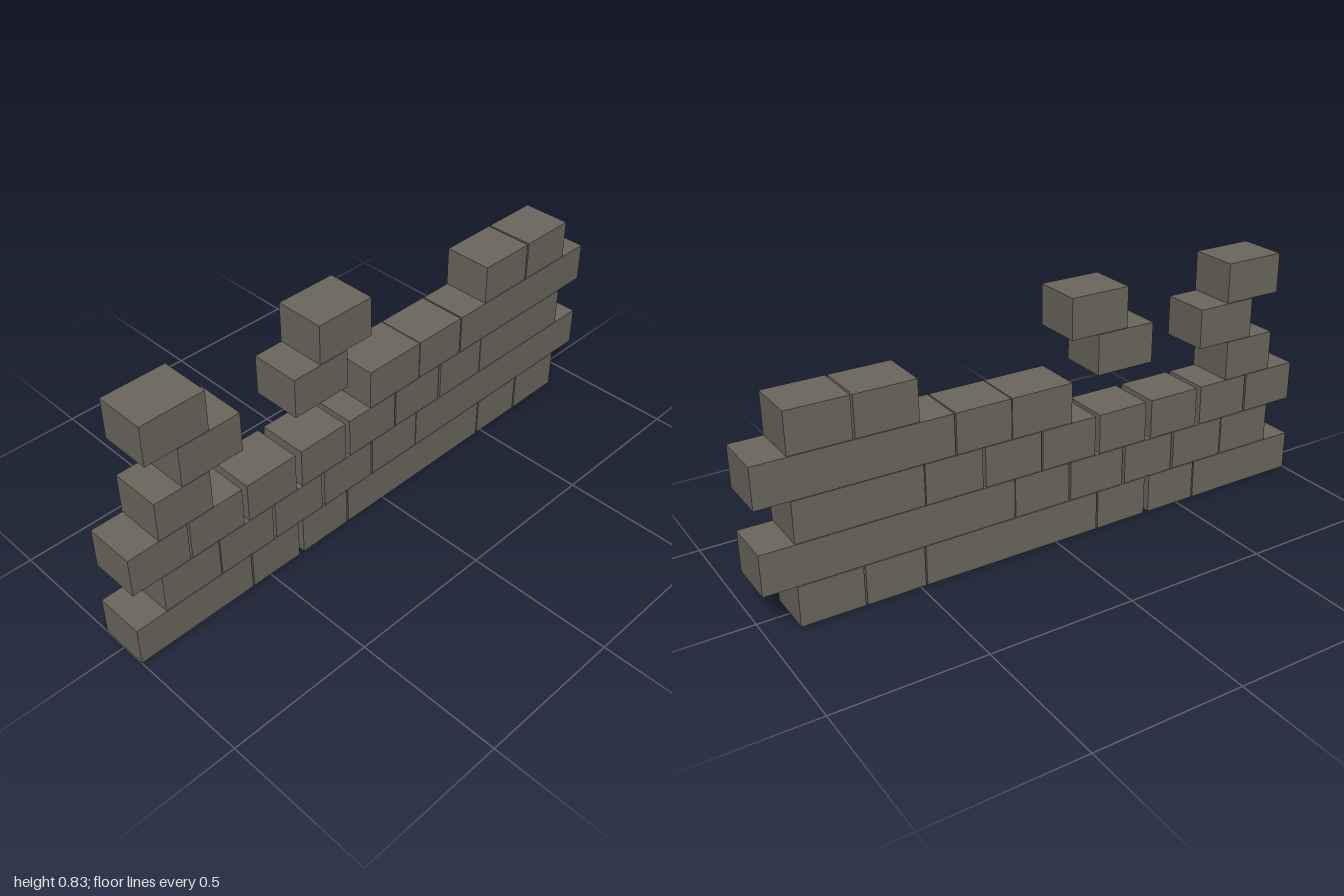
import * as THREE from 'three';

// Each course lists its stones as [left x, right x], from the ground up
const COURSES = [
  [[-1, -0.572], [-0.567, -0.377], [-0.358, -0.166], [-0.16, 0.476], [0.481, 0.679], [0.685, 0.894]],
  [[-0.893, -0.686], [-0.682, -0.477], [-0.467, -0.273], [-0.262, -0.056], [-0.049, 0.154], [0.157, 1]],
  [[-0.993, -0.788], [-0.781, -0.586], [-0.567, -0.377], [-0.353, -0.168], [-0.15, 0.052],
    [0.058, 0.26], [0.27, 0.468], [0.471, 0.89]],
  [[-0.886, -0.692], [-0.058, 0.162], [0.165, 0.358], [0.363, 1]],
  [[-0.789, -0.571], [-0.368, -0.157], [0.478, 0.683], [0.69, 0.89]],
  [[-0.898, -0.681], [-0.266, -0.056]],
];
const PITCH = 0.139, HEIGHT = 0.137, DEPTH = 0.17;

export function createModel() {
  const wall = new THREE.Group();
  wall.name = 'ruinedWall';
  const stone = new THREE.MeshStandardMaterial({ color: 0x6b675e });
  stone.name = 'stone';

  COURSES.forEach((course, row) => {
    const group = new THREE.Group();
    group.name = `course${row + 1}`;
    group.position.y = row * PITCH + HEIGHT / 2;
    course.forEach(([left, right], i) => {
      const block = new THREE.Mesh(new THREE.BoxGeometry(right - left, HEIGHT, DEPTH), stone);
      block.name = `stoneBlock${i + 1}`;
      block.position.x = (left + right) / 2;
      group.add(block);
    });
    wall.add(group);
  });
  return wall;
}
